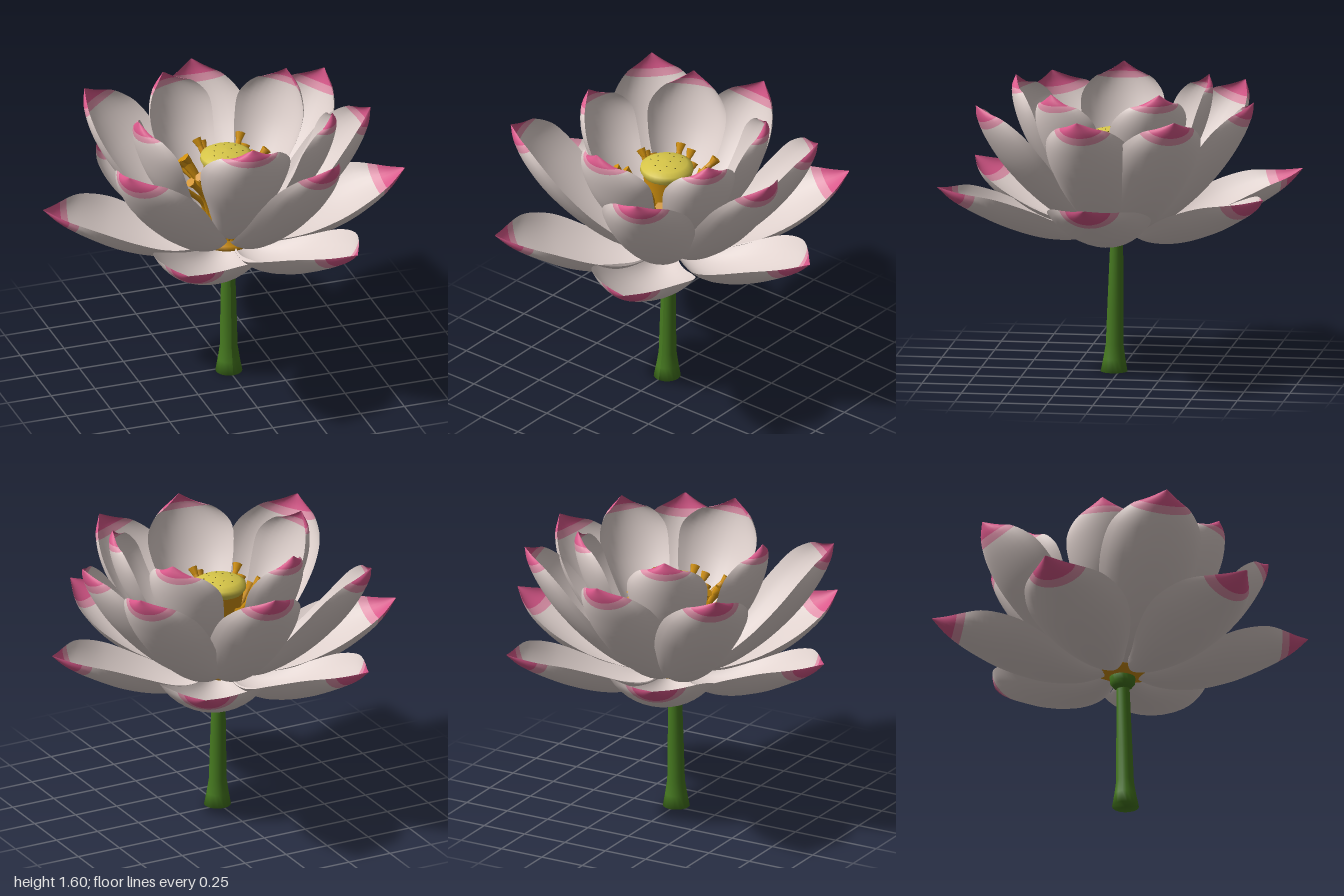
import * as THREE from 'three';

const mat = (name, color, side = THREE.FrontSide) => {
  const m = new THREE.MeshStandardMaterial({ color, side });
  m.name = name;
  return m;
};

const V = (x, y, z = 0) => new THREE.Vector3(x, y, z);

// Petal rows: [radius, height, half width] along the spine; arc = half angle of the cupped cross-section;
// band and tip = rows where the two pinks begin; tips = [x, z, width factor] of each petal
const RINGS = [
  {
    name: 'outerPetal', arc: 0.95, band: 28, tip: 30,
    spine: [[0.04, 0.79, 0.04], [0.2, 0.74, 0.12], [0.4, 0.75, 0.225], [0.62, 0.82, 0.28],
      [0.8, 0.91, 0.235], [0.92, 0.985, 0.125], [1.0, 1.06, 0.004]],
    tips: [[1.0, 0.05, 1], [0.42, 0.93, 1], [-0.52, 0.86, 1], [-1.0, -0.13, 1], [-0.4, -0.94, 1], [0.55, -0.86, 1]],
  },
  {
    name: 'middlePetal', arc: 1.08, band: 29, tip: 31,
    spine: [[0.06, 0.77, 0.05], [0.25, 0.82, 0.16], [0.45, 0.96, 0.22], [0.63, 1.15, 0.25],
      [0.73, 1.3, 0.225], [0.785, 1.42, 0.14], [0.8, 1.5, 0.004]],
    tips: [[0.35, 0.73, 1], [-0.72, 0.47, 1.1], [-0.6, -0.6, 1], [0.06, -0.74, 1], [0.7, -0.4, 1], [0.78, 0.12, 1]],
  },
  {
    name: 'innerPetal', arc: 1.08, band: 30, tip: 32,
    spine: [[0.05, 0.8, 0.04], [0.2, 0.89, 0.1], [0.36, 1.06, 0.165], [0.49, 1.25, 0.225],
      [0.555, 1.41, 0.23], [0.578, 1.53, 0.15], [0.56, 1.6, 0.004]],
    tips: [[-0.05, 0.57, 1.05], [0.5, 0.3, 0.87], [0.44, -0.28, 0.95], [-0.2, -0.46, 0.92], [-0.52, 0.05, 0.95]],
  },
];

// Cupped petal swept along its spine, with material groups for body, blush band and tip
function petalGeometry({ spine, arc, band, tip }, reach, width) {
  const rows = 36, cols = 14;
  const curve = new THREE.CatmullRomCurve3(spine.map(([r, y, w]) => V(r * reach, y, w * width)));
  const pos = [], index = [];
  for (let i = 0; i <= rows; i++) {
    for (let j = 0; j <= cols; j++) {
      const u = (j / cols) * 2 - 1;
      // rows dip towards the base in the middle, so the colour bands curve
      const t = i / rows;
      const s = t - 0.45 * (1 - u * u) * t * t * t * (1 - t);
      const p = curve.getPoint(s);
      const d = curve.getTangent(s);
      const len = Math.hypot(d.x, d.y) || 1;
      const R = Math.max(p.z, 0.002) / Math.sin(arc);
      const depth = R * (1 - Math.cos(u * arc));
      pos.push(p.x - (d.y / len) * depth, p.y + (d.x / len) * depth, R * Math.sin(u * arc));
    }
  }
  for (let i = 0; i < rows; i++) {
    for (let j = 0; j < cols; j++) {
      const a = i * (cols + 1) + j, b = a + cols + 1;
      index.push(a, b, a + 1, b, b + 1, a + 1);
    }
  }
  const g = new THREE.BufferGeometry();
  g.setAttribute('position', new THREE.Float32BufferAttribute(pos, 3));
  g.setIndex(index);
  const n = cols * 6;
  g.addGroup(0, band * n, 0);
  g.addGroup(band * n, (tip - band) * n, 1);
  g.addGroup(tip * n, (rows - tip) * n, 2);
  g.computeVertexNormals();
  return g;
}

export function createModel() {
  const flower = new THREE.Group();
  flower.name = 'waterFlower';

  const petalMats = [
    mat('palePetal', 0xdfd1cd, THREE.DoubleSide),
    mat('blushBand', 0xdf92aa, THREE.DoubleSide),
    mat('pinkTip', 0xd9588a, THREE.DoubleSide),
  ];
  const green = mat('stemGreen', 0x45781f);
  const gold = mat('stamenGold', 0xd0900f);
  const yellow = mat('podYellow', 0xd6c548);
  const olive = mat('seedOlive', 0x77691f);

  const add = (parent, name, geometry, material) => {
    const mesh = new THREE.Mesh(geometry, material);
    mesh.name = name;
    parent.add(mesh);
    return mesh;
  };
  const lathe = (pts, seg) => new THREE.LatheGeometry(pts.map(([x, y]) => new THREE.Vector2(x, y)), seg);

  // Three rings of petals, each aimed at its tip
  for (const kind of RINGS) {
    const ring = new THREE.Group();
    ring.name = kind.name + 'Ring';
    const tipRadius = kind.spine[kind.spine.length - 1][0];
    for (const [x, z, width] of kind.tips) {
      const g = petalGeometry(kind, Math.hypot(x, z) / tipRadius, width);
      add(ring, kind.name, g, petalMats).rotation.y = -Math.atan2(z, x);
    }
    flower.add(ring);
  }

  // Stem, flared at the foot and leaning slightly
  const stem = lathe([[0, 0], [0.073, 0], [0.06, 0.07], [0.048, 0.15], [0.044, 0.35], [0.035, 0.72]], 16);
  const p = stem.attributes.position;
  for (let i = 0; i < p.count; i++) p.setZ(i, p.getZ(i) + 0.028 - 0.02 * p.getY(i));
  stem.computeVertexNormals();
  add(flower, 'stem', stem, green).position.x = 0.004;
  const collar = lathe([[0.03, 0.695], [0.052, 0.71], [0.068, 0.73], [0.07, 0.77], [0.06, 0.785], [0.06, 0.82], [0, 0.83]], 16);
  add(flower, 'collar', collar, green).position.z = 0.012;

  // Seed pod: gold body, domed yellow cap, scattered seeds
  const heart = new THREE.Group();
  heart.name = 'heart';
  heart.position.set(-0.005, -0.05, 0.02);
  flower.add(heart);
  add(heart, 'podBody', lathe([[0.05, 0.81], [0.14, 0.835], [0.135, 0.86], [0.09, 0.92], [0.1, 1.1], [0.13, 1.31]], 24), gold);
  add(heart, 'podCap', lathe([[0.125, 1.295], [0.144, 1.325], [0.14, 1.35], [0.11, 1.368], [0.06, 1.38], [0, 1.384]], 32), yellow);
  for (let i = 0; i < 12; i++) {
    const r = 0.025 + 0.075 * Math.sqrt(i / 12), a = i * 2.4;
    const seed = add(heart, 'seed', new THREE.SphereGeometry(0.0045, 8, 6), olive);
    seed.scale.y = 0.6;
    seed.position.set(r * Math.cos(a), 1.384 - 1.3 * r * r, r * Math.sin(a));
  }

  // Stamens leaning outwards around the pod, with knobbed ends
  const count = 26;
  for (let i = 0; i < count; i++) {
    const r = 0.205 + 0.025 * ((i * 5) % 3), y = 1.32 - 0.04 * ((i * 7) % 4);
    const stamen = new THREE.Group();
    stamen.name = 'stamen';
    stamen.rotation.y = (i / count) * Math.PI * 2 + 0.05 * ((i * 3) % 4);
    const path = new THREE.CatmullRomCurve3([V(0.1, 0.88), V(0.125, 1.05), V(0.16, y - 0.09), V(r, y)]);
    add(stamen, 'filament', new THREE.TubeGeometry(path, 10, 0.016, 6), gold);
    const knob = add(stamen, 'anther', new THREE.CylinderGeometry(0.028, 0.016, 0.045, 6), gold);
    knob.position.set(r + 0.008, y + 0.008, 0);
    knob.rotation.z = -0.75;
    heart.add(stamen);
  }
  return flower;
}
